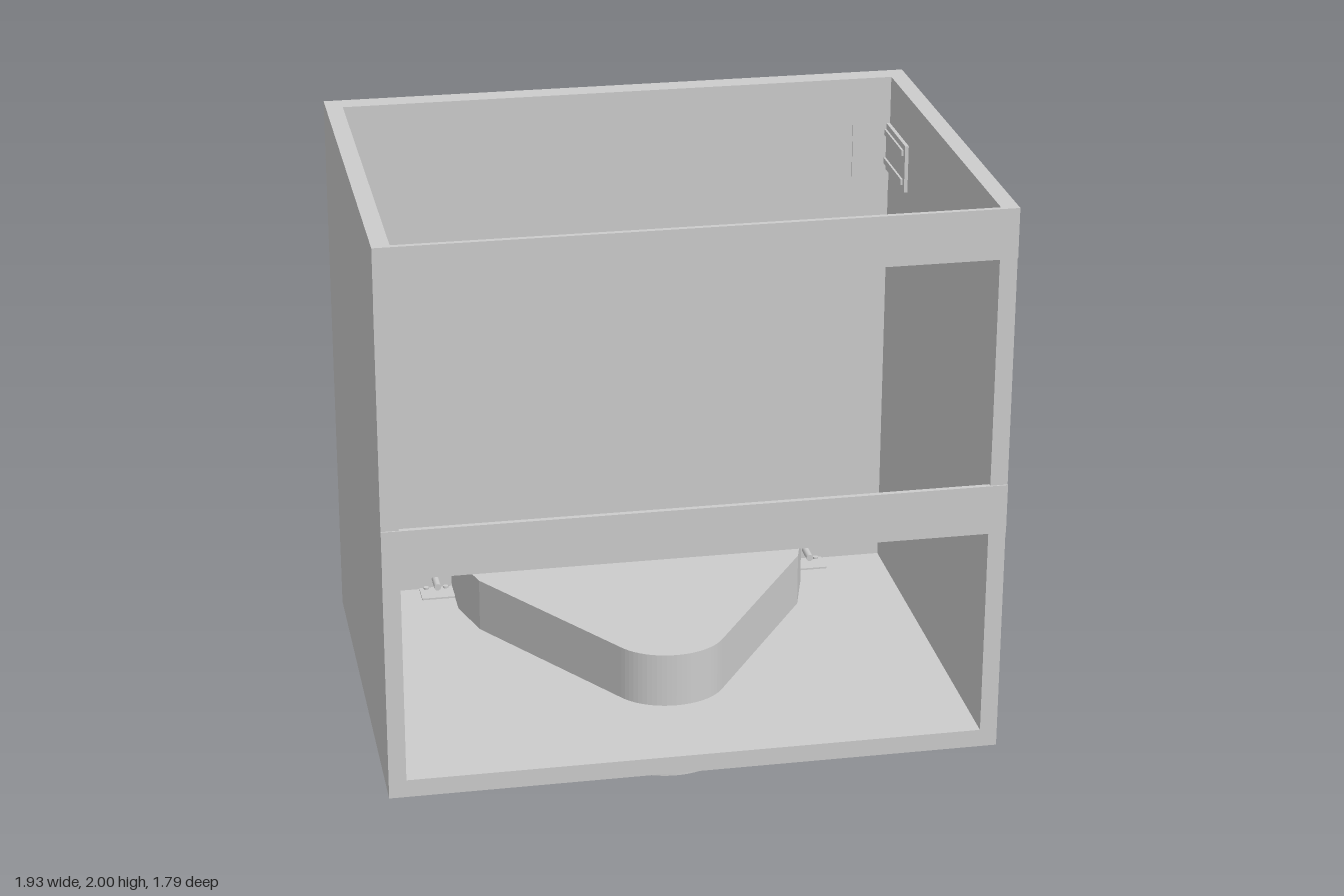
import * as THREE from 'three';

const grey = new THREE.MeshStandardMaterial({ color: 0xcccccc });

export function createModel() {
  const model = new THREE.Group();
  model.name = 'sinkCabinet';

  const add = (name, geometry, parent = model) => {
    const mesh = new THREE.Mesh(geometry, grey);
    mesh.name = name;
    parent.add(mesh);
    return mesh;
  };

  // Box given by its extents on each axis
  const box = (name, x0, x1, y0, y1, z0, z1, parent) => {
    const mesh = add(name, new THREE.BoxGeometry(Math.abs(x1 - x0), y1 - y0, z1 - z0), parent);
    mesh.position.set((x0 + x1) / 2, (y0 + y1) / 2, (z0 + z1) / 2);
    return mesh;
  };

  const W = 0.967, IN = 0.912, BACK = -0.525, FRONT = 0.888;

  // Carcass: floor, back rail, recessed back panel, front rails
  box('floor', -IN, IN, 0.197, 0.255, BACK, FRONT);
  box('backRail', -IN, IN, 1.84, 2, BACK, -0.45);
  box('backPanel', -IN, IN, 0.255, 1.84, -0.475, -0.455);
  box('topFrontRail', -W, W, 1.84, 2, 0.876, 0.893);
  box('middleFrontRail', -W, W, 0.94, 1.1, 0.876, 0.893);

  // Parts mirrored on both sides
  for (const s of [-1, 1]) {
    const side = new THREE.Group();
    side.name = s > 0 ? 'leftFittings' : 'rightFittings';
    model.add(side);
    const part = (name, x0, x1, ...rest) => box(name, s * x0, s * x1, ...rest, side);
    const pin = (name, r, length, x, y, z, alongZ) => {
      const mesh = add(name, new THREE.CylinderGeometry(r, r, length, 16), side);
      if (alongZ) mesh.rotation.x = Math.PI / 2;
      mesh.position.set(s * x, y, z);
    };

    part('sidePanel', IN, W, 0.197, 2, BACK, 0.876);
    for (const [y0, y1] of [[0.197, 0.94], [1.1, 1.84]]) {
      part('sideFrontEdge', IN, W, y0, y1, 0.876, FRONT);
    }
    // Small clips fixing the rails to the sides
    for (const y of [0.945, 1.842]) part('railClip', 0.895, IN, y, y + 0.03, 0.835, 0.876);

    // Wall hanger: inner plates plus the hook on the rear
    part('hangerBackPlate', 0.785, IN, 1.64, 1.84, -0.456, -0.45);
    part('hangerSidePlate', 0.9, IN, 1.68, 1.84, -0.45, -0.2);
    part('hangerSideRib', 0.893, 0.9, 1.7, 1.72, -0.45, -0.22);
    part('hangerSideRib', 0.893, 0.9, 1.8, 1.82, -0.45, -0.22);
    part('hangerRearPlate', 0.785, 0.9, 1.62, 1.8, -0.49, -0.475);
    part('hangerHook', 0.785, 0.9, 1.775, 1.79, -0.515, -0.49);
    part('hangerHookLip', 0.785, 0.81, 1.775, 1.825, -0.521, -0.509);

    // Floor bracket with bolt and screws beside the plinth
    part('floorBracket', 0.59, 0.708, 0.255, 0.261, -0.45, -0.365);
    pin('bracketBolt', 0.012, 0.125, 0.652, 0.29, -0.4475, true);
    pin('bracketBoltHead', 0.028, 0.02, 0.652, 0.29, -0.495, true);
    for (const x of [0.618, 0.685]) pin('bracketScrew', 0.009, 0.012, x, 0.262, -0.44, false);
  }

  // Tapered plinth with a rounded nose; shape y is -z
  const outline = new THREE.Shape();
  outline.moveTo(-0.595, 0.895);
  outline.lineTo(-0.595, 0.28);
  outline.lineTo(-0.545, 0.11);
  outline.lineTo(-0.165, -0.465);
  outline.bezierCurveTo(-0.09, -0.578, 0.09, -0.578, 0.165, -0.465);
  outline.lineTo(0.545, 0.11);
  outline.lineTo(0.595, 0.28);
  outline.lineTo(0.595, 0.895);
  outline.closePath();
  const plinth = new THREE.ExtrudeGeometry(outline, { depth: 0.435, bevelEnabled: false, curveSegments: 24 });
  plinth.rotateX(-Math.PI / 2);
  add('plinth', plinth);

  return model;
}
